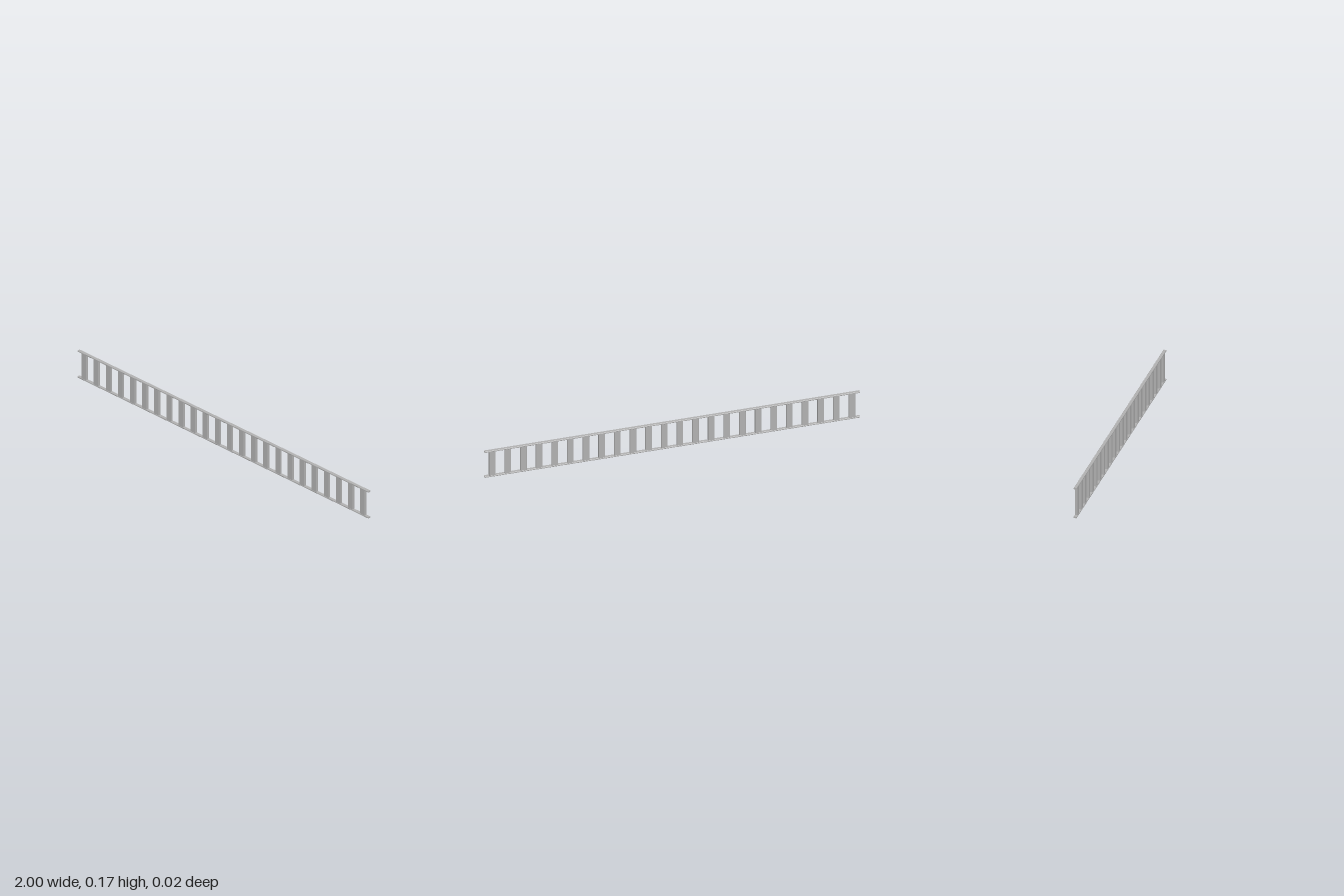
import * as THREE from 'three';

const HEIGHT = 0.167, DEPTH = 0.016, RAIL = 0.008, RUNGS = 24;

// Rectangle with small cut corners, centred on the origin
function chamferedRect(w, h, c) {
  const x = w / 2, y = h / 2;
  return new THREE.Shape([
    [-x + c, -y], [x - c, -y], [x, -y + c], [x, y - c],
    [x - c, y], [-x + c, y], [-x, y - c], [-x, -y + c],
  ].map(([a, b]) => new THREE.Vector2(a, b)));
}

// Straight bar extruded along z and centred on its length
function bar(w, h, length, chamfer) {
  const geo = new THREE.ExtrudeGeometry(chamferedRect(w, h, chamfer), { depth: length, bevelEnabled: false });
  return geo.translate(0, 0, -length / 2);
}

export function createModel() {
  const model = new THREE.Group();
  model.name = 'ladder';
  const metal = new THREE.MeshStandardMaterial({ color: 0xb0b0b0 });
  metal.name = 'grey metal';

  const add = (name, geo, x, y) => {
    const mesh = new THREE.Mesh(geo, metal);
    mesh.name = name;
    mesh.position.set(x, y, 0);
    model.add(mesh);
  };

  // Two long side rails
  const railGeo = bar(DEPTH, RAIL, 2, 0.0015).rotateY(Math.PI / 2);
  add('lowerRail', railGeo, 0, RAIL / 2);
  add('upperRail', railGeo, 0, HEIGHT - RAIL / 2);

  // Evenly spaced flat rungs between the rails
  const rungGeo = bar(0.033, 0.014, HEIGHT - RAIL, 0.001).rotateX(Math.PI / 2);
  const pitch = 2 / RUNGS;
  for (let i = 0; i < RUNGS; i++) {
    add('rung' + (i + 1), rungGeo, -1 + pitch * (i + 0.5), HEIGHT / 2);
  }
  return model;
}
